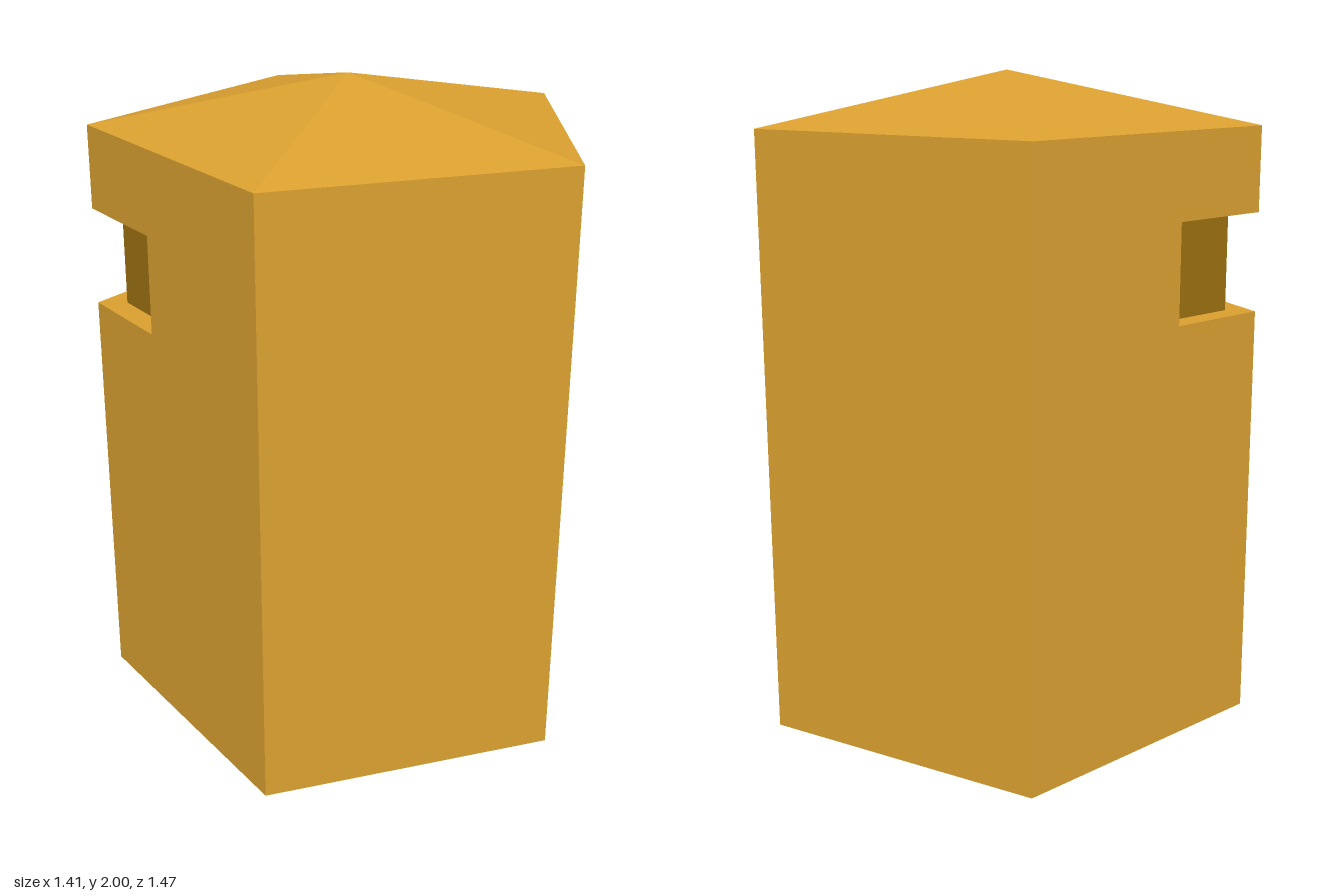
import * as THREE from 'three';

const gold = new THREE.MeshStandardMaterial({ color: 0xdaa030 });
gold.name = 'gold';
const darkGold = new THREE.MeshStandardMaterial({ color: 0x9c7012 });
darkGold.name = 'dark gold';

// Plan corners [x, z], anticlockwise seen from above, starting at the window corner
const plan = [[-0.707, -0.02], [-0.2, 0.732], [0.673, 0.482], [0.707, -0.427], [-0.15, -0.736]]
  .map(([x, z]) => new THREE.Vector2(x, z));
const EAVES = 1.845, SILL = 1.29, LINTEL = 1.59;
const REACH = 0.338, DEPTH = 0.073; // window length along each wall and its recess

const at = (p, y) => new THREE.Vector3(p.x, y, p.y);

function mesh(name, points, material) {
  const geometry = new THREE.BufferGeometry().setFromPoints(points);
  geometry.computeVertexNormals();
  const m = new THREE.Mesh(geometry, material);
  m.name = name;
  return m;
}

// Upright quads along a path of plan points
function wall(path, y0, y1) {
  const out = [];
  for (let i = 0; i < path.length - 1; i++) {
    const [p, q] = [path[i], path[i + 1]];
    out.push(at(p, y0), at(q, y0), at(q, y1), at(p, y0), at(q, y1), at(p, y1));
  }
  return out;
}

// Horizontal polygon, fanned from its first point
function slab(loop, y, up) {
  const out = [];
  for (let i = 1; i < loop.length - 1; i++) {
    const [p, q] = up ? [loop[i], loop[i + 1]] : [loop[i + 1], loop[i]];
    out.push(at(loop[0], y), at(p, y), at(q, y));
  }
  return out;
}

export function createModel() {
  const group = new THREE.Group();
  group.name = 'tower';
  const [corner, front, , , back] = plan;
  const closed = [...plan, corner];

  // Recess outline wrapping round the window corner
  const u = front.clone().sub(corner).normalize();
  const v = back.clone().sub(corner).normalize();
  const inU = new THREE.Vector2(u.y, -u.x), inV = new THREE.Vector2(-v.y, v.x);
  const frontEnd = corner.clone().addScaledVector(u, REACH);
  const backEnd = corner.clone().addScaledVector(v, REACH);
  const frontInner = frontEnd.clone().addScaledVector(inU, DEPTH);
  const backInner = backEnd.clone().addScaledVector(inV, DEPTH);
  const innerCorner = corner.clone().addScaledVector(u.clone().add(v), DEPTH / Math.abs(u.cross(v)));
  const recess = [innerCorner, backInner, backEnd, corner, frontEnd, frontInner];

  // Walls, with the middle band opened for the window
  group.add(mesh('lowerWalls', wall(closed, 0, SILL), gold));
  group.add(mesh('middleWalls',
    wall([frontInner, frontEnd, ...plan.slice(1), backEnd, backInner], SILL, LINTEL), gold));
  group.add(mesh('upperWalls', wall(closed, LINTEL, EAVES), gold));
  group.add(mesh('base', slab(plan, 0, false), gold));

  // Corner window
  group.add(mesh('windowSill', slab(recess, SILL, true), gold));
  group.add(mesh('windowLintel', slab(recess, LINTEL, false), gold));
  group.add(mesh('windowPanes', wall([backInner, innerCorner, frontInner], SILL, LINTEL), darkGold));

  // Shallow pointed roof
  const apex = new THREE.Vector3(0.06, 2, 0.005);
  const roof = plan.flatMap((p, i) => [at(p, EAVES), at(closed[i + 1], EAVES), apex]);
  group.add(mesh('roof', roof, gold));
  return group;
}
